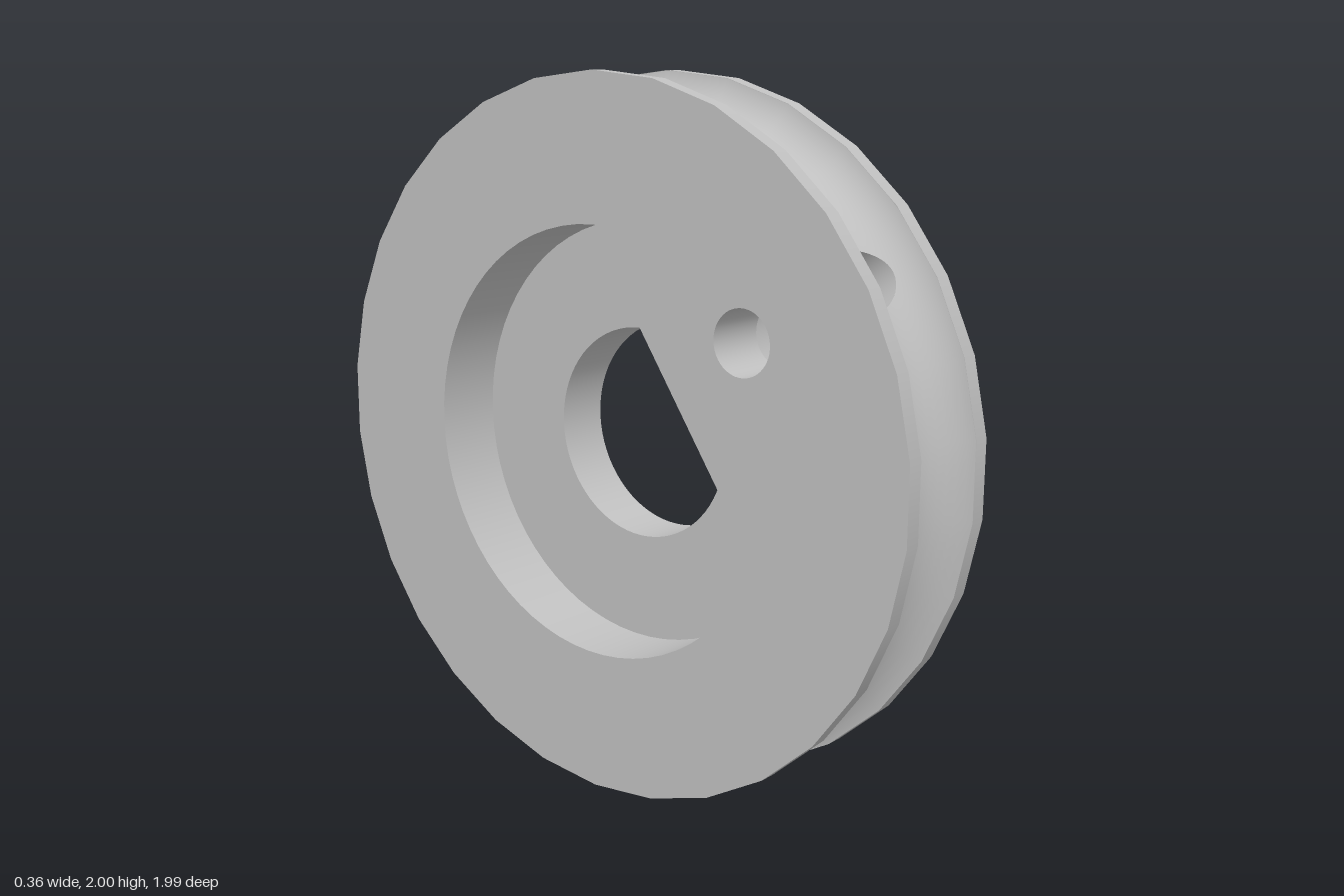
import * as THREE from 'three';
import { ParametricGeometry } from 'three/addons/geometries/ParametricGeometry.js';

// Local frame: wheel axis along z, cord hole pointing along +x.
const RAD = Math.PI / 180, TAU = Math.PI * 2;
const HALF = 0.18, SIDES = 30, START = 3.8 * RAD, STEP = TAU / SIDES;
const GROOVE = { r: 0.132, centre: 1.022, sweep: 80 * RAD };
const PIN = { x: 0.602, r: 0.088 };        // pin hole, same bore as the cord hole
const BORE = 0.18;                         // knot pocket radius
const CUT = Math.asin(PIN.r / BORE);       // half angle where the cord hole enters the pocket
const SHAFT = { r: 0.3, d: 0.162 }, RECESS = { r: 0.6, d: 0.38 }, FLOOR = 0.02;

const lerp = THREE.MathUtils.lerp;
const root = (v) => Math.sqrt(Math.max(0, v));
const arc = (r, a, b, cx = 0) => (u) => [cx + r * Math.cos(lerp(a, b, u)), r * Math.sin(lerp(a, b, u))];
const sample = (path, n) => Array.from({ length: n + 1 }, (_, i) => path(i / n));
const dAngle = (D) => Math.acos(D.d / D.r);
const dArc = (D) => arc(D.r, dAngle(D), TAU - dAngle(D));
const dFlat = (D) => (u) => [D.d, D.r * Math.sin(dAngle(D)) * (2 * u - 1)];
const circle = (r, cx) => sample(arc(r, 0, TAU, cx), 48).slice(0, -1);

// Point on the many-sided groove surface
function groovePoint(z, angle, out) {
  const off = THREE.MathUtils.euclideanModulo(angle - START, STEP) - STEP / 2;
  const rho = (GROOVE.centre - root(GROOVE.r ** 2 - z * z)) * Math.cos(STEP / 2) / Math.cos(off);
  return out.set(rho * Math.cos(angle), rho * Math.sin(angle), z);
}

// Where the cord hole breaks through the groove: [z, angle]
function holeRim(t) {
  const z = PIN.r * Math.cos(t), y = PIN.r * Math.sin(t);
  return [z, Math.asin(y / (GROOVE.centre - root(GROOVE.r ** 2 - z * z)))];
}

// Round normals for the groove, pointing at the centre of its arc
function grooveNormals(geo) {
  const p = geo.attributes.position, n = new THREE.Vector3();
  for (let i = 0; i < p.count; i++) {
    const x = p.getX(i), y = p.getY(i), r = Math.hypot(x, y);
    const k = Math.max(0, GROOVE.centre - r) / r;
    n.set(x * k, y * k, -p.getZ(i)).normalize();
    geo.attributes.normal.setXYZ(i, n.x, n.y, n.z);
  }
  return geo;
}

// Wall following a path, running from z0 to z1 (numbers or functions of x, y)
function wall(path, z0, z1, n) {
  const at = (z, x, y) => (typeof z === 'function' ? z(x, y) : z);
  return new ParametricGeometry((u, v, out) => {
    const [x, y] = path(u);
    out.set(x, y, lerp(at(z0, x, y), at(z1, x, y), v));
  }, n, 1);
}

// Flat face at height z, facing +z (side 1) or -z (side -1)
function face(outline, holes, z, side) {
  const pts = (list) => list.map(([x, y]) => new THREE.Vector2(x, y * side));
  const shape = new THREE.Shape(pts(outline));
  holes.forEach((h) => shape.holes.push(new THREE.Path(pts(h))));
  const geo = new THREE.ShapeGeometry(shape);
  if (side < 0) geo.rotateX(Math.PI);
  return geo.translate(0, 0, z);
}

export function createModel() {
  const grey = new THREE.MeshStandardMaterial({ color: 0xc0c0c0, side: THREE.DoubleSide });
  grey.name = 'plain grey';
  const wheel = new THREE.Group();
  wheel.name = 'pulleyWheel';
  const add = (name, geo) => {
    const mesh = new THREE.Mesh(geo, grey);
    mesh.name = name;
    wheel.add(mesh);
  };

  const rimPath = arc(1, START, START + TAU);
  const disc = sample(rimPath, SIDES).slice(0, -1);
  const dOutline = (D) => sample(dArc(D), 48);

  // Side faces and flange rims
  add('pocketSideFace', face(disc, [dOutline(SHAFT), circle(BORE, PIN.x)], HALF, 1));
  add('recessSideFace', face(disc, [dOutline(RECESS), circle(PIN.r, PIN.x)], -HALF, -1));
  add('pocketSideRim', wall(rimPath, 0.13, HALF, SIDES));
  add('recessSideRim', wall(rimPath, -HALF, -0.13, SIDES));

  // Cord groove, leaving three facets open around the cord hole
  const from = START + STEP, to = START - 2 * STEP;
  const grooveZ = (s) => GROOVE.r * Math.sin(GROOVE.sweep * s);
  add('cordGroove', grooveNormals(new ParametricGeometry((u, v, out) => {
    groovePoint(grooveZ(2 * v - 1), lerp(from, to + TAU, u), out);
  }, SIDES - 3, 16)));

  // Groove patch blending from a square border to the round hole
  add('groovePatch', grooveNormals(new ParametricGeometry((u, v, out) => {
    const q = (u * 4) % 4, side = Math.floor(q), s = 2 * (q - side) - 1;
    const [sx, sy] = [[1, s], [-s, 1], [-1, -s], [s, -1]][side < 0 ? side + 4 : side];
    const [hz, ha] = holeRim(Math.atan2(sy, sx));
    const border = sy > 0 ? sy * from : -sy * to;
    groovePoint(lerp(hz, grooveZ(sx), v), lerp(ha, border, v), out);
  }, 64, 10)));

  // Shaft hole and wider recess, both with a flat
  for (const [name, D, top, bottom] of [['shaftHole', SHAFT, HALF, FLOOR], ['recess', RECESS, FLOOR, -HALF]]) {
    add(name + 'RoundWall', wall(dArc(D), top, bottom, 48));
    add(name + 'FlatWall', wall(dFlat(D), top, bottom, 1));
  }
  add('recessFloor', face(dOutline(RECESS), [dOutline(SHAFT)], FLOOR, -1));

  // Knot pocket: wall with the cord hole cut out, and a slotted floor
  add('pocketWall', wall(arc(BORE, CUT, TAU - CUT, PIN.x), HALF, 0, 40));
  add('pocketWallOverHole', wall(arc(BORE, -CUT, CUT, PIN.x), HALF, (x, y) => root(PIN.r ** 2 - y * y), 24));
  add('pocketFloor', face([
    ...sample(arc(BORE, CUT, TAU - CUT, PIN.x), 40),
    ...sample(arc(PIN.r, -Math.PI / 2, -Math.PI * 1.5, PIN.x), 24),
  ], [], 0, 1));

  // Pin hole through to the recess side
  add('pinHoleOuterWall', wall(arc(PIN.r, -Math.PI / 2, Math.PI / 2, PIN.x), (x) => PIN.x - x, -HALF, 24));
  add('pinHoleInnerWall', wall(arc(PIN.r, Math.PI / 2, Math.PI * 1.5, PIN.x), 0, -HALF, 24));

  // Cord hole from the groove into the pocket (upper half) and pin hole (lower half)
  const rim = new THREE.Vector3();
  [['cordHoleUpper', -90, BORE], ['cordHoleLower', 90, PIN.r]].forEach(([name, a, r]) => {
    add(name, new ParametricGeometry((u, v, out) => {
      const t = (a + 180 * u) * RAD, y = PIN.r * Math.sin(t);
      groovePoint(...holeRim(t), rim);
      out.set(lerp(PIN.x + root(r * r - y * y), rim.x, v), y, PIN.r * Math.cos(t));
    }, 24, 1));
  });

  // Turn the axis to x and swing the cord hole to the upper front
  wheel.rotation.set(0, Math.PI / 2, 146.2 * RAD);
  wheel.position.y = 1;
  const model = new THREE.Group();
  model.name = 'pulley';
  model.add(wheel);
  return model;
}
